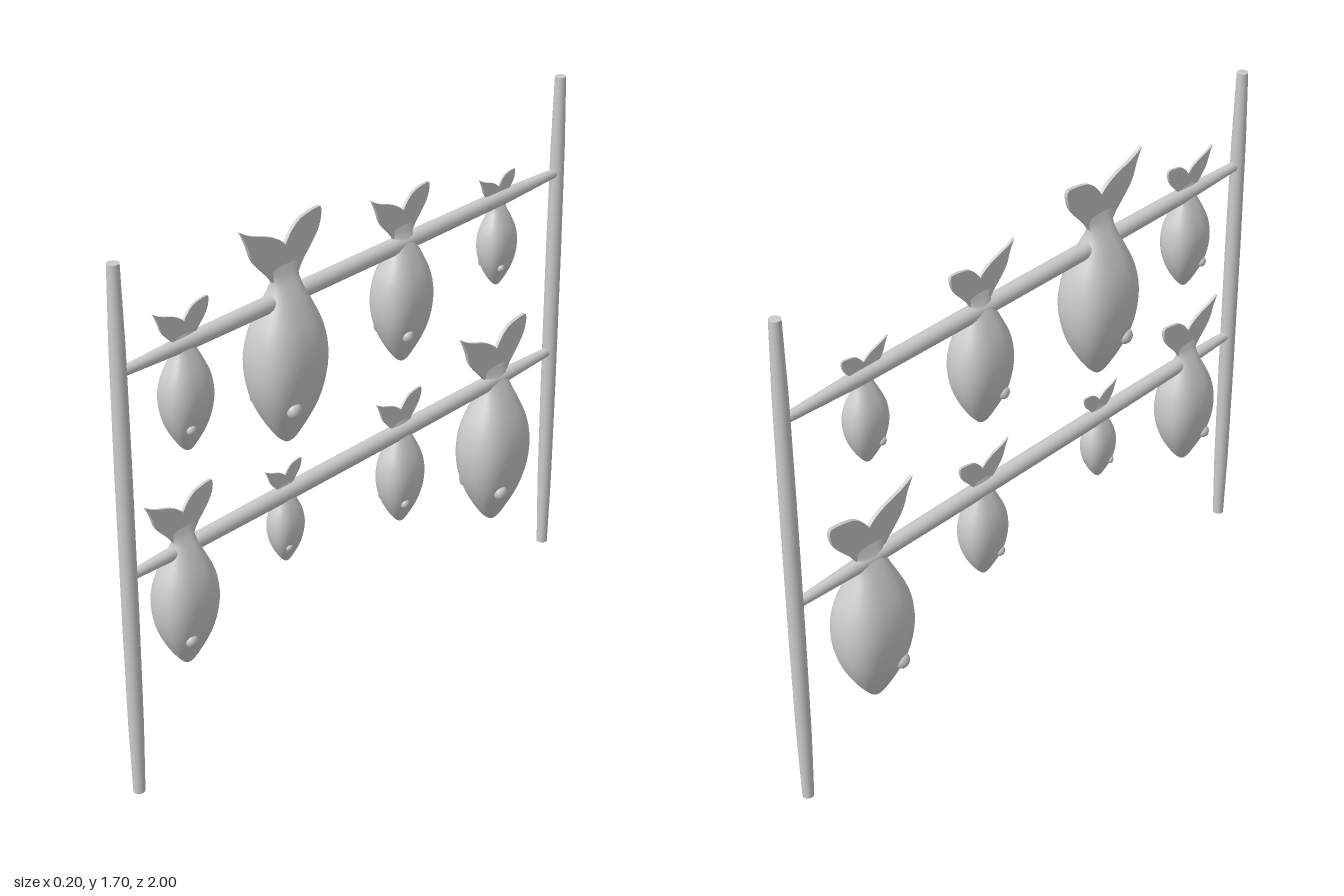
import * as THREE from 'three';
import { mergeVertices } from 'three/addons/utils/BufferGeometryUtils.js';

const material = new THREE.MeshStandardMaterial({ color: 0xcccccc, side: THREE.DoubleSide });

// Round stick, slightly narrower at both ends, standing on y = 0
function stickGeometry(length, radius, endRadius) {
  const profile = [
    [0, 0], [endRadius, 0], [endRadius, 0.001], [radius * 0.92, length * 0.14],
    [radius, length * 0.35], [radius, length * 0.65], [radius * 0.92, length * 0.86],
    [endRadius, length - 0.001], [endRadius, length], [0, length],
  ].map(([r, y]) => new THREE.Vector2(r, y));
  return new THREE.LatheGeometry(profile, 16);
}

// Fish body hanging nose down: stations are [half thickness, height, half width]
function bodyGeometry() {
  const stations = [
    [0, 0, 0], [0.018, 0.012, 0.02], [0.04, 0.05, 0.052], [0.076, 0.13, 0.098],
    [0.095, 0.21, 0.124], [0.1, 0.29, 0.131], [0.088, 0.37, 0.119], [0.06, 0.45, 0.084],
    [0.037, 0.5, 0.06], [0.017, 0.54, 0.053], [0.006, 0.575, 0.066],
  ];
  const curve = new THREE.CatmullRomCurve3(stations.map((s) => new THREE.Vector3(...s)));
  const geometry = new THREE.CylinderGeometry(1, 1, 1, 36, 30, true);
  const pos = geometry.attributes.position;
  const rounded = (v) => Math.sign(v) * Math.pow(Math.abs(v), 2 / 2.6);
  for (let i = 0; i < pos.count; i++) {
    const p = curve.getPoint(THREE.MathUtils.clamp(pos.getY(i) + 0.5, 0, 1));
    pos.setXYZ(i, p.x * rounded(pos.getX(i)), p.y, p.z * rounded(pos.getZ(i)));
  }
  geometry.deleteAttribute('uv');
  geometry.deleteAttribute('normal');
  const merged = mergeVertices(geometry, 1e-5);
  merged.computeVertexNormals();
  return merged;
}

// Thin forked tail with one lobe longer than the other
function tailGeometry() {
  const shape = new THREE.Shape();
  shape.moveTo(0.05, 0.525);
  shape.bezierCurveTo(0.06, 0.56, 0.13, 0.6, 0.146, 0.65);
  shape.quadraticCurveTo(0.158, 0.69, 0.18, 0.727);
  shape.quadraticCurveTo(0.15, 0.705, 0.1, 0.69);
  shape.quadraticCurveTo(0.03, 0.67, 0, 0.635);
  shape.quadraticCurveTo(-0.03, 0.685, -0.07, 0.698);
  shape.quadraticCurveTo(-0.12, 0.71, -0.148, 0.708);
  shape.quadraticCurveTo(-0.158, 0.695, -0.146, 0.658);
  shape.bezierCurveTo(-0.13, 0.61, -0.06, 0.57, -0.05, 0.525);
  const geometry = new THREE.ExtrudeGeometry(shape, { depth: 0.012, bevelEnabled: false, curveSegments: 10 });
  geometry.translate(0, 0, -0.006);
  geometry.rotateY(-Math.PI / 2);
  return geometry;
}

export function createModel() {
  const group = new THREE.Group();
  group.name = 'fishDryingRack';

  const add = (parent, name, geometry, x = 0, y = 0, z = 0) => {
    const mesh = new THREE.Mesh(geometry, material);
    mesh.name = name;
    mesh.position.set(x, y, z);
    parent.add(mesh);
    return mesh;
  };

  // Upright posts
  const post = stickGeometry(1.7, 0.025, 0.018);
  add(group, 'frontPost', post, 0, 0, 0.975);
  add(group, 'backPost', post, 0, 0, -0.975);

  // Crossbars
  const bar = stickGeometry(1.92, 0.027, 0.015);
  for (const [name, y] of [['upperBar', 1.375], ['lowerBar', 0.735]]) {
    add(group, name, bar, 0, y, -0.96).rotation.x = Math.PI / 2;
  }

  // Hanging fish: [z, nose height, scale]
  const body = bodyGeometry();
  const tail = tailGeometry();
  const eye = new THREE.SphereGeometry(0.026, 16, 12);
  const fishes = [
    [0.725, 1.04, 0.635], [0.315, 0.905, 1], [-0.205, 0.98, 0.79], [-0.67, 1.08, 0.53],
    [0.757, 0.345, 0.8], [0.327, 0.5, 0.465], [-0.205, 0.41, 0.63], [-0.68, 0.215, 1],
  ];
  fishes.forEach(([z, y, scale], i) => {
    const fish = new THREE.Group();
    fish.name = `fish${i + 1}`;
    add(fish, 'body', body);
    add(fish, 'tail', tail);
    for (const side of [1, -1]) {
      add(fish, side > 0 ? 'leftEye' : 'rightEye', eye, side * 0.074, 0.145, 0.046).scale.x = 0.8;
    }
    fish.position.set(0, y, z);
    fish.scale.setScalar(scale);
    group.add(fish);
  });

  return group;
}
